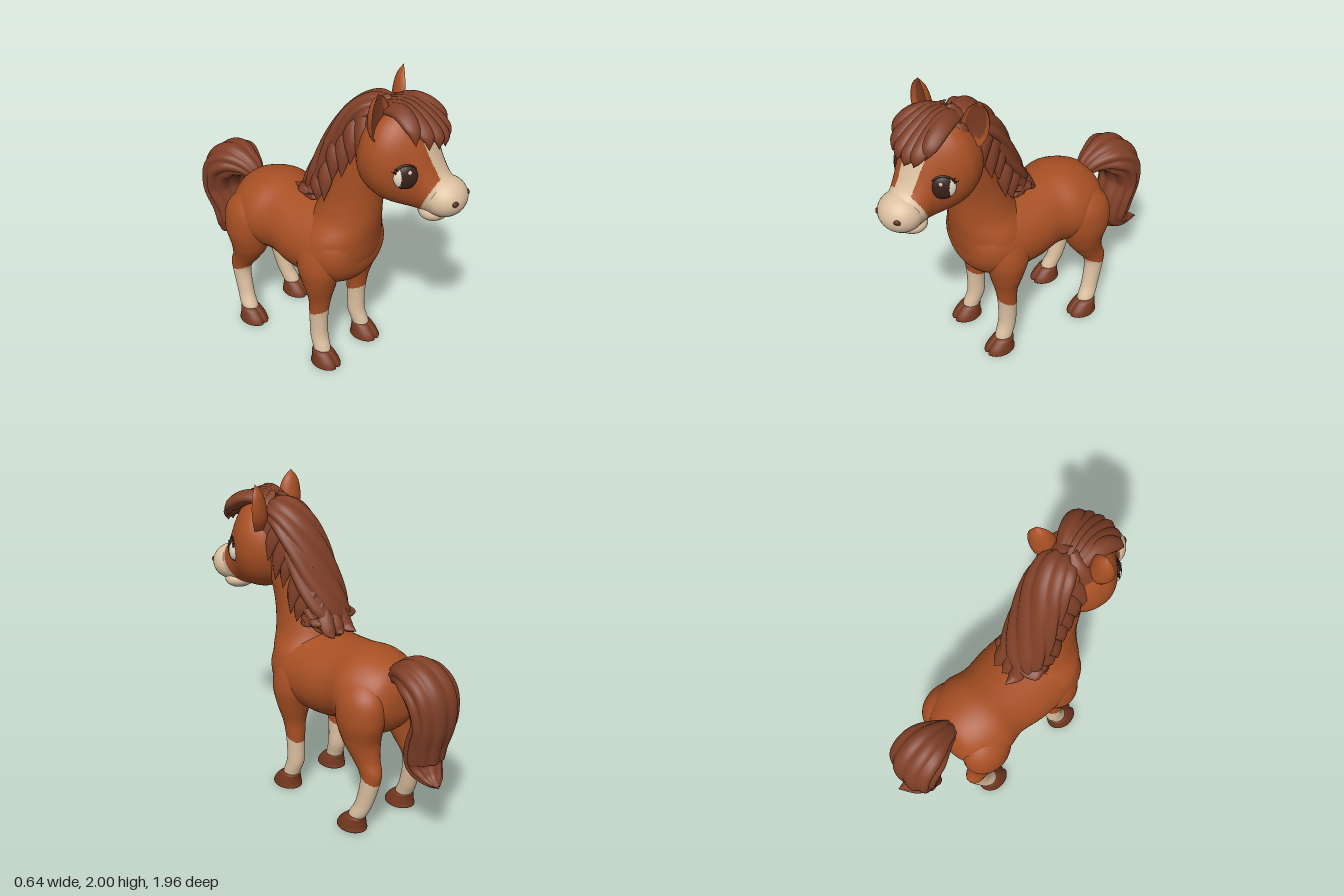
import * as THREE from 'three';

const mat = (name, color) => Object.assign(new THREE.MeshStandardMaterial({ color }), { name });
const V = (x, y, z) => new THREE.Vector3(x, y, z);
const X = V(1, 0, 0), Y = V(0, 1, 0), Z = V(0, 0, 1);

// Smooth skin over elliptical sections [x, y, z, a, b]; a lies along ref, b across it.
function loft(secs, { axis, ref = X, rings = 40, seg = 32, ripple, mod } = {}) {
  const mid = new THREE.CatmullRomCurve3(secs.map(s => V(s[0], s[1], s[2])), false, 'catmullrom', 0.5);
  const rad = new THREE.CatmullRomCurve3(secs.map(s => V(s[3], s[4], 0)), false, 'catmullrom', 0.5);
  const pos = [], idx = [];
  for (let i = 0; i <= rings; i++) {
    const t = i / rings, c = mid.getPoint(t), r = rad.getPoint(t);
    const T = axis || mid.getTangent(t);
    const u = ref.clone().addScaledVector(T, -ref.dot(T)).normalize();
    const v = T.clone().cross(u);
    for (let j = 0; j < seg; j++) {
      const th = j / seg * Math.PI * 2, k = ripple ? ripple(th, t) : 1;
      const p = c.clone()
        .addScaledVector(u, Math.max(r.x, 0) * k * Math.cos(th))
        .addScaledVector(v, Math.max(r.y, 0) * k * Math.sin(th));
      if (mod) mod(p, c);
      pos.push(p.x, p.y, p.z);
      if (i < rings) {
        const a = i * seg + j, b = i * seg + (j + 1) % seg;
        idx.push(a, b, a + seg, b, b + seg, a + seg);
      }
    }
  }
  const g = new THREE.BufferGeometry();
  g.setAttribute('position', new THREE.Float32BufferAttribute(pos, 3));
  g.setIndex(idx);
  g.computeVertexNormals();
  return g;
}

// Sort triangles into material groups by pick(centroid, normal).
function paint(g, count, pick) {
  const src = g.index.array, p = g.attributes.position, lists = Array.from({ length: count }, () => []);
  const tri = new THREE.Triangle(), c = V(0, 0, 0), n = V(0, 0, 0);
  for (let i = 0; i < src.length; i += 3) {
    tri.setFromAttributeAndIndices(p, src[i], src[i + 1], src[i + 2]);
    tri.getMidpoint(c);
    tri.getNormal(n);
    lists[pick(c, n)].push(src[i], src[i + 1], src[i + 2]);
  }
  g.setIndex(lists.flat());
  let start = 0;
  lists.forEach((l, m) => { g.addGroup(start, l.length, m); start += l.length; });
  return g;
}

function add(parent, name, geo, material, p = [0, 0, 0], s = [1, 1, 1], r = [0, 0, 0]) {
  const m = new THREE.Mesh(geo, material);
  m.name = name;
  m.position.set(...p);
  m.scale.set(...s);
  m.rotation.set(...r);
  parent.add(m);
}

// Section from a top and bottom height at depth z
const slice = x => ([z, top, bot, rx]) => [x, (top + bot) / 2, z, rx, (top - bot) / 2];

export function createModel() {
  const coat = mat('coat', 0xa85024), hair = mat('hair', 0x7f3f27), hoofMat = mat('hoof', 0x75381f);
  const cream = mat('cream', 0xdcc0a0), dark = mat('eyeDark', 0x38211a), white = mat('eyeWhite', 0xf0e4cf);
  const earIn = mat('innerEar', 0x7c3c22), nose = mat('nostril', 0x5a2a1a);
  const model = new THREE.Group();
  model.name = 'pony';

  // Barrel
  add(model, 'body', loft([
    [-0.615, 0.87, 0.83, 0], [-0.6, 0.95, 0.74, 0.13], [-0.55, 1.04, 0.66, 0.21], [-0.45, 1.095, 0.6, 0.27],
    [-0.33, 1.12, 0.6, 0.29], [-0.2, 1.11, 0.6, 0.265], [-0.05, 1.1, 0.575, 0.285], [0.1, 1.1, 0.57, 0.29],
    [0.22, 1.1, 0.58, 0.285], [0.32, 1.08, 0.62, 0.25], [0.39, 1.0, 0.7, 0.17], [0.415, 0.9, 0.8, 0],
  ].map(slice(-0.02)), { axis: Z, rings: 60, seg: 48 }), coat);

  // Neck
  add(model, 'neck', loft([
    [-0.02, 0.68, 0.2, 0.2, 0.15], [-0.02, 0.8, 0.2, 0.28, 0.212], [-0.02, 0.95, 0.205, 0.265, 0.23],
    [-0.01, 1.08, 0.245, 0.195, 0.208], [0, 1.25, 0.285, 0.163, 0.182], [0.015, 1.45, 0.34, 0.16, 0.16],
    [0.04, 1.65, 0.42, 0.15, 0.13], [0.04, 1.7, 0.43, 0, 0],
  ], { axis: Y, rings: 48, seg: 48 }), coat);

  // Legs with pale stockings, and hooves notched at the toe
  const front = [[0.19, 0.07, 0.225, 0.05, 0.055], [0.187, 0.12, 0.208, 0.052, 0.06], [0.18, 0.2, 0.182, 0.055, 0.06],
    [0.18, 0.3, 0.178, 0.056, 0.06], [0.18, 0.4, 0.18, 0.062, 0.064], [0.18, 0.5, 0.187, 0.076, 0.074],
    [0.185, 0.62, 0.187, 0.107, 0.108], [0.19, 0.76, 0.18, 0.122, 0.14], [0.165, 0.92, 0.17, 0.1, 0.13],
    [0.12, 1.03, 0.16, 0, 0]];
  const hind = [[0.19, 0.07, -0.43, 0.05, 0.055], [0.19, 0.12, -0.455, 0.052, 0.062], [0.18, 0.2, -0.49, 0.05, 0.06],
    [0.175, 0.34, -0.523, 0.055, 0.066], [0.175, 0.42, -0.52, 0.061, 0.08], [0.175, 0.5, -0.475, 0.078, 0.096],
    [0.18, 0.61, -0.435, 0.11, 0.128], [0.19, 0.76, -0.432, 0.13, 0.166], [0.175, 0.92, -0.42, 0.115, 0.15],
    [0.14, 1.06, -0.4, 0, 0]];
  for (const side of [1, -1]) {
    for (const [kind, secs, toe, back] of [['front', front, 0.25, 0.115], ['hind', hind, -0.407, -0.59]]) {
      const label = kind + (side > 0 ? 'Left' : 'Right');
      // The left hind foot is set a little wider
      const splay = kind === 'hind' && side > 0 ? 0.03 : 0;
      const leg = loft(secs.map(([x, y, ...rest]) => [side * x - 0.02 + splay * Math.max(0, 1 - y / 0.6), y, ...rest]),
        { axis: Y, rings: 84, seg: 30 });
      add(model, label + 'Leg', paint(leg, 2, c => c.y < 0.35 + (c.z - back) * 0.45 ? 1 : 0), [coat, cream]);
      const x = side * 0.193 - 0.02 + splay;
      add(model, label + 'Hoof', loft([
        [x, 0, toe, 0, 0], [x, 0.002, toe, 0.077, 0.097], [x, 0.03, toe, 0.08, 0.098],
        [x, 0.07, toe - 0.015, 0.07, 0.08], [x, 0.1, toe - 0.033, 0.054, 0.06], [x, 0.112, toe - 0.035, 0, 0],
      ], { axis: Y, rings: 20, seg: 44, ripple: th => 1 - 0.16 * Math.exp(-(((th - Math.PI * 1.5) / 0.13) ** 2)) }), hoofMat);
    }
  }

  // Tail with twisted strands
  add(model, 'tail', loft([
    [-0.01, 0.99, -0.53, 0.05, 0.05], [-0.01, 1.045, -0.615, 0.1, 0.085], [-0.01, 1.055, -0.725, 0.16, 0.12],
    [-0.01, 0.98, -0.825, 0.175, 0.123], [-0.01, 0.83, -0.857, 0.165, 0.1], [0, 0.68, -0.815, 0.14, 0.108],
    [0, 0.55, -0.8, 0.12, 0.105], [0.02, 0.48, -0.88, 0.075, 0.055], [0.06, 0.465, -0.975, 0, 0],
  ], { rings: 60, seg: 72, ripple: (th, t) => 0.9 + 0.13 * Math.abs(Math.sin(4.5 * th + 2.5 * t)) }), hair);

  // Mane: a core along the crest with overlapping locks on both sides
  const mane = new THREE.Group();
  mane.name = 'mane';
  model.add(mane);
  add(mane, 'maneCore', loft([
    [0.045, 1.82, 0.52, 0, 0], [0.045, 1.82, 0.42, 0.12, 0.075], [0.04, 1.75, 0.31, 0.15, 0.09],
    [0.02, 1.6, 0.215, 0.16, 0.095], [0, 1.4, 0.13, 0.165, 0.1], [-0.01, 1.24, 0.055, 0.155, 0.095],
    [-0.01, 1.15, 0, 0.12, 0.06], [-0.01, 1.1, -0.06, 0, 0],
  ], { rings: 76, seg: 72, ripple: (th, t) => 0.92 + 0.13 * Math.abs(Math.sin(4 * th + 15 * t)) }), hair);
  const lock = (parent, pts, w, d, ref) => add(parent, 'lock', loft(
    pts.map((p, i) => [...p, w * [0.4, 1, 0.9, 0][i], d * [0.4, 1, 0.9, 0][i]]),
    { ref, rings: 20, seg: 16, ripple: th => 0.94 + 0.08 * Math.cos(4 * th) }), hair);
  const crest = new THREE.CatmullRomCurve3([
    V(0.045, 1.89, 0.46), V(0.04, 1.83, 0.33), V(0.03, 1.74, 0.235), V(0.01, 1.58, 0.145),
    V(0, 1.4, 0.065), V(-0.01, 1.27, 0.01)]);
  for (const side of [1, -1]) {
    for (let i = 0; i < 9; i++) {
      const s = crest.getPoint(i / 8), fall = (i % 2 ? 0.3 : 0.25) + (side < 0 ? 0.03 : 0);
      const low = y => Math.max(y, 1.12 + 0.01 * i), reach = side < 0 ? 0.02 : 0;
      lock(mane, [[s.x + side * 0.01, s.y + 0.015, s.z + 0.02], [s.x + side * 0.09, low(s.y - 0.06), s.z + 0.015],
        [s.x + side * (0.14 + reach), low(s.y - fall * 0.65), s.z + 0.05],
        [s.x + side * (0.165 + reach), low(s.y - fall - 0.04), s.z + 0.06]], 0.064, 0.036, Z);
    }
  }
  for (const [x, y, z] of [[-0.07, 1.14, -0.14], [0.0, 1.13, -0.1], [0.07, 1.12, -0.1]])
    lock(mane, [[x * 0.4, 1.36, 0.07], [x * 0.8, 1.24, 0.005], [x, 1.15, -0.05], [x, y, z]], 0.055, 0.04, X);

  // Head, turned a little to its left
  const head = new THREE.Group();
  head.name = 'head';
  head.position.set(0.045, 0, 0.55);
  head.rotation.y = 0.2;
  model.add(head);
  const skull = loft([
    [-0.215, 1.58, 1.5, 0], [-0.19, 1.7, 1.41, 0.13], [-0.13, 1.81, 1.34, 0.21], [-0.04, 1.87, 1.295, 0.248],
    [0.03, 1.88, 1.28, 0.244], [0.09, 1.86, 1.275, 0.218], [0.14, 1.82, 1.27, 0.185], [0.19, 1.74, 1.265, 0.155],
    [0.24, 1.62, 1.26, 0.138], [0.29, 1.53, 1.25, 0.125], [0.35, 1.48, 1.27, 0.1], [0.4, 1.42, 1.33, 0],
  ].map(slice(0)), { axis: Z, rings: 110, seg: 108 });
  const isPale = c => c.z > 0.175 + 0.47 * (c.y - 1.25)
    || (c.z > 0.1 && c.y > 1.4 && Math.abs(c.x - 0.01) < 0.063 + 0.1 * Math.max(0, c.y - 1.55));
  add(head, 'skull', paint(skull, 2, c => isPale(c) ? 1 : 0), [coat, cream]);
  const ball = new THREE.SphereGeometry(1, 32, 20), bead = new THREE.SphereGeometry(1, 16, 12);
  add(head, 'muzzle', ball, cream, [0, 1.382, 0.308], [0.136, 0.117, 0.128]);
  add(head, 'lowerLip', ball, cream, [0, 1.285, 0.25], [0.112, 0.064, 0.092]);

  for (const side of [1, -1]) {
    add(head, 'nostril', bead, nose, [side * 0.08, 1.395, 0.407], [0.02, 0.017, 0.012], [0, side * 0.6, 0]);

    // Eye with pale rear corner, highlight, upper lid and lashes
    const eye = new THREE.Group();
    eye.name = side > 0 ? 'leftEye' : 'rightEye';
    eye.position.set(side * 0.172, 1.54, 0.143);
    eye.rotation.y = side * 0.84;
    head.add(eye);
    const globe = paint(new THREE.SphereGeometry(1, 48, 32), 2, c => c.x * side > 0.45 + 0.25 * c.y * c.y ? 1 : 0);
    add(eye, 'eyeball', globe, [dark, white], [0, 0, 0], [0.072, 0.076, 0.036]);
    add(eye, 'highlight', bead, white, [side * -0.012, 0.04, 0.03], [0.011, 0.013, 0.004]);
    add(eye, 'upperLid', new THREE.TorusGeometry(0.072, 0.006, 8, 28, Math.PI * 0.7), dark,
      [0, 0, 0.006], [1, 1.06, 1], [0, 0, Math.PI * 0.15]);
    for (const a of [0.45, 0.7])
      add(eye, 'lash', new THREE.ConeGeometry(0.007, 0.03, 6), dark,
        [side * 0.082 * Math.cos(a), 0.086 * Math.sin(a), 0.008], [1, 1, 1], [0, 0, side * (a - Math.PI / 2)]);
  }

  // Scooped ears: x, z, outward yaw and lean of each
  for (const [name, x, z, yaw, lean] of [['leftEar', 0.185, -0.06, 0.5, -0.2], ['rightEar', -0.16, -0.02, -0.15, 0.1]]) {
    const ear = loft([
      [0, 0, 0, 0.05, 0.055], [0, 0.07, 0, 0.076, 0.075], [0, 0.15, 0, 0.079, 0.07],
      [0, 0.23, -0.005, 0.054, 0.045], [0, 0.285, -0.012, 0, 0],
    ], { axis: Y, rings: 32, seg: 48, mod: (p, c) => { if (p.z > c.z) p.z = c.z - (p.z - c.z) * 0.45; } });
    const inside = (c, n) => n.z > 0.1 && c.y > 0.04 && c.y < 0.255 && Math.abs(c.x) < 0.058 - 2.2 * (c.y - 0.13) ** 2;
    add(head, name, paint(ear, 2, (c, n) => inside(c, n) ? 1 : 0), [coat, earIn], [x, 1.718, z], [1, 1, 1], [0, yaw, lean]);
  }

  // Forelock swept over the brow
  [[-0.165, 1.735, 0.19], [-0.11, 1.7, 0.245], [-0.045, 1.685, 0.275], [0.02, 1.675, 0.28], [0.08, 1.685, 0.265],
    [0.125, 1.73, 0.22]].forEach(([x, y, z], i) => lock(head, [[0.012 * (i - 2.5), 1.81, -0.18],
    [x * 0.6 + 0.02, 1.872, 0.03], [x * 0.9 + 0.015, y + 0.08, z - 0.04], [x, y, z]], 0.064, 0.046, X));
  return model;
}
